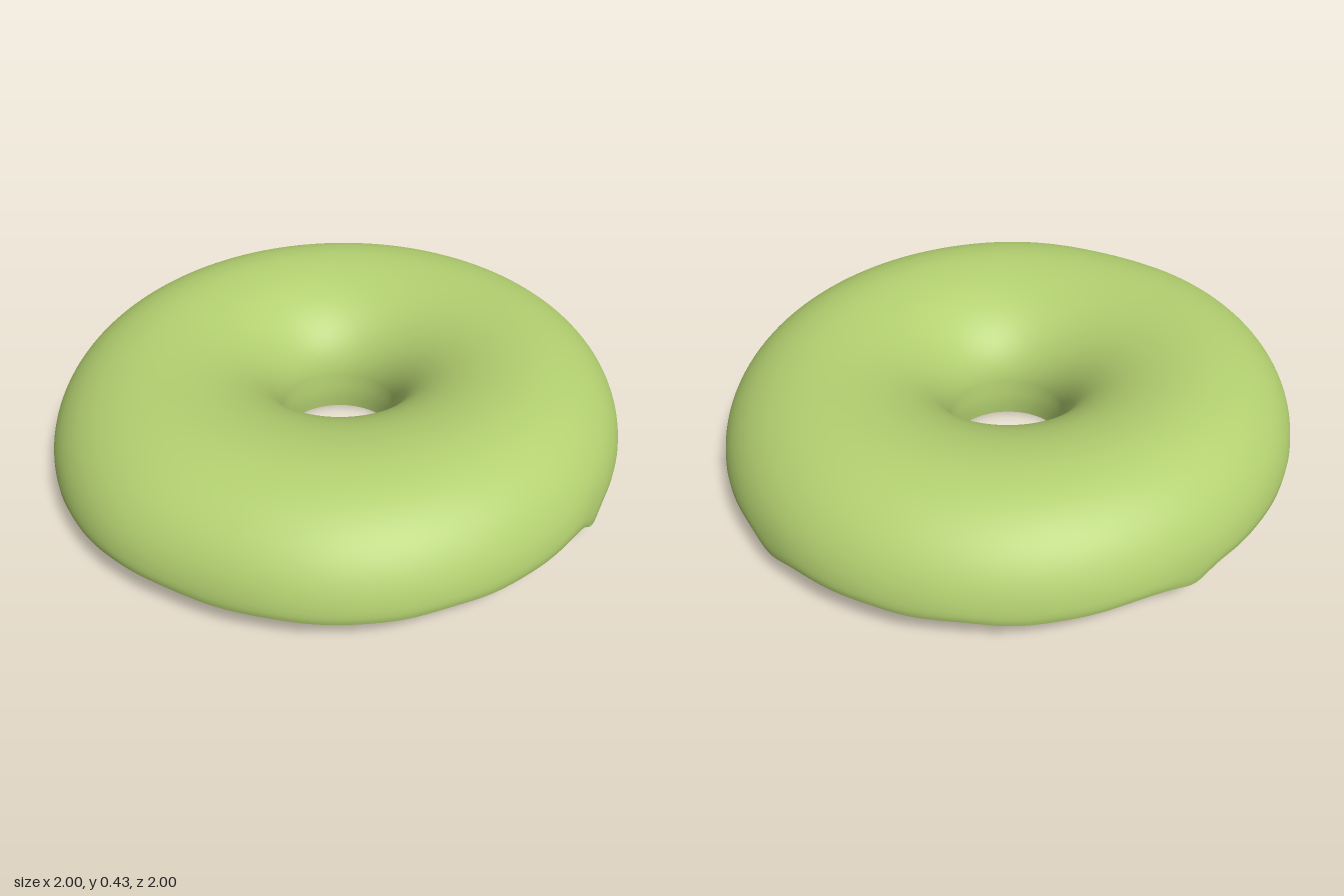
import * as THREE from 'three';
import { mergeVertices } from 'three/addons/utils/BufferGeometryUtils.js';

// Drips along the rim: direction x, z, depth, angular width
const DRIPS = [
  [0.6, 0.76, 0.04, 0.055], [-0.32, -0.93, 0.026, 0.07], [0.9, -0.46, 0.02, 0.08],
  [-0.72, 0.69, 0.012, 0.12], [-0.3, 0.95, 0.008, 0.12], [-0.98, 0.1, 0.008, 0.07],
];

const angleGap = (a, b) => Math.atan2(Math.sin(a - b), Math.cos(a - b));
const bump = (a, centre, width) => Math.exp(-((angleGap(a, centre) / width) ** 2));

// How far the rim hangs down at angle a
function dripDepth(a) {
  let d = 0.003 * Math.sin(9 * a + 1) + 0.003 * Math.sin(14 * a + 2.4) + 0.002 * Math.sin(23 * a);
  for (const [x, z, depth, width] of DRIPS) d += depth * bump(a, Math.atan2(z, x), width);
  return d;
}

// Uneven outline, longer along one diagonal and slightly flattened at one end
function outline(a) {
  return 0.022 * Math.cos(2 * (a + Math.PI / 4)) - 0.025 * bump(a, Math.PI * 0.74, 0.3);
}

function icingProfile() {
  const points = [[0.962, 0.128], [0.968, 0.117], [0.98, 0.11], [0.991, 0.111], [0.998, 0.118]]
    .map(([r, y]) => new THREE.Vector2(r, y));
  const n = 56;
  for (let i = 1; i <= n; i++) {
    const t = (i / n) * Math.PI;
    const width = t < Math.PI / 2 ? 0.36 : 0.433;
    points.push(new THREE.Vector2(0.64 + width * Math.cos(t), 0.123 + 0.307 * Math.sin(t)));
  }
  // Short sleeve below the hole
  for (const [r, y] of [[0.204, 0.09], [0.204, 0.06], [0.206, 0.03], [0.21, 0]]) {
    points.push(new THREE.Vector2(r, y));
  }
  return points;
}

export function createModel() {
  const group = new THREE.Group();
  let geometry = new THREE.LatheGeometry(icingProfile(), 320);
  geometry.deleteAttribute('uv');
  geometry.deleteAttribute('normal');
  geometry = mergeVertices(geometry, 1e-5);

  // Shift the hole, bend the outline and pull the rim down into drips
  const pos = geometry.attributes.position;
  for (let i = 0; i < pos.count; i++) {
    const x = pos.getX(i), y = pos.getY(i), z = pos.getZ(i);
    const r = Math.hypot(x, z), a = Math.atan2(z, x);
    const t = THREE.MathUtils.clamp((r - 0.21) / 0.79, 0, 1);
    const scale = 1 + t * outline(a);
    const hang = r > 0.8 ? THREE.MathUtils.clamp((0.24 - y) / 0.12, 0, 1) ** 2 : 0;
    pos.setXYZ(i,
      x * scale + 0.015 * (1 - t),
      y - dripDepth(a) * hang,
      z * scale - 0.025 * (1 - t));
  }
  geometry.computeVertexNormals();

  const icing = new THREE.Mesh(geometry, new THREE.MeshStandardMaterial({
    color: 0xb3d070, side: THREE.DoubleSide,
  }));
  icing.name = 'icing';
  group.add(icing);
  return group;
}
